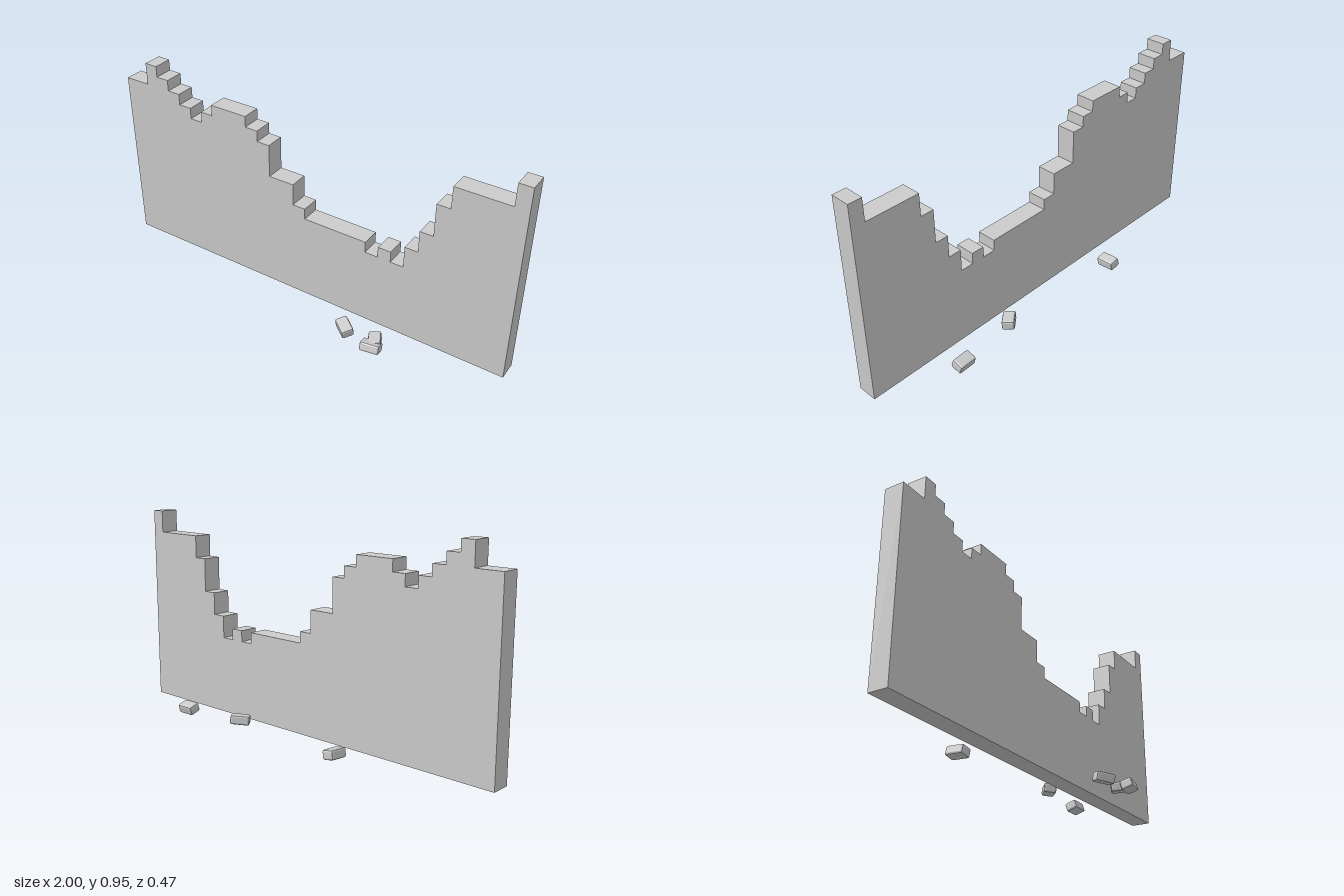
import * as THREE from 'three';
import { RoundedBoxGeometry } from 'three/addons/geometries/RoundedBoxGeometry.js';

const COLS = 32, COL = 2 / COLS;          // half-brick columns across the wall
const ROW = 0.0525, BASE = 0.015;         // course height and wall foot
const BACK = -0.06, DEPTH = 0.09;

// broken crown: [end column, courses standing up to there]
const STEPS = [
  [2, 16], [3, 18], [4, 17], [5, 16], [6, 15], [7, 14], [8, 15], [11, 16], [12, 15],
  [13, 14], [15, 11], [16, 9], [21, 8], [22, 7], [23, 8], [24, 7], [25, 9], [26, 11],
  [27, 14], [31, 16], [32, 18],
];

// fallen bricks: x, y, z, yaw, pitch, roll (degrees)
const BRICKS = [
  [-0.315, 0.037, -0.19, 90, 10, 4],
  [0.31, 0.035, -0.138, 40, 5, 5],
  [0.625, 0.037, -0.183, 2, -18, 0],
  [0.295, 0.037, 0.153, -38, 10, -6],
  [0.452, 0.037, 0.155, -62, 6, 6],
  [0.455, 0.037, 0.195, 10, -18, 0],
];

export function createModel() {
  const group = new THREE.Group();
  const material = new THREE.MeshStandardMaterial({ color: 0xcccccc, flatShading: true });

  // wall slab with a stepped top edge
  const outline = new THREE.Shape();
  outline.moveTo(-1, BASE);
  outline.lineTo(1, BASE);
  for (let i = STEPS.length - 1; i >= 0; i--) {
    const y = BASE + STEPS[i][1] * ROW;
    const start = i > 0 ? STEPS[i - 1][0] : 0;
    outline.lineTo(-1 + STEPS[i][0] * COL, y);
    outline.lineTo(-1 + start * COL, y);
  }
  outline.closePath();
  const wallGeometry = new THREE.ExtrudeGeometry(outline, { depth: DEPTH, bevelEnabled: false });
  wallGeometry.translate(0, 0, BACK);
  const wall = new THREE.Mesh(wallGeometry, material);
  wall.name = 'ruinedWall';
  group.add(wall);

  // chamfered loose bricks on the ground
  const bricks = new THREE.Group();
  bricks.name = 'fallenBricks';
  const brickGeometry = new RoundedBoxGeometry(0.09, 0.044, 0.057, 1, 0.009);
  const rad = THREE.MathUtils.degToRad;
  BRICKS.forEach(([x, y, z, yaw, pitch, roll], i) => {
    const brick = new THREE.Mesh(brickGeometry, material);
    brick.name = `fallenBrick${i + 1}`;
    brick.position.set(x, y, z);
    brick.rotation.set(rad(pitch), rad(yaw), rad(roll), 'YXZ');
    bricks.add(brick);
  });
  group.add(bricks);

  return group;
}
